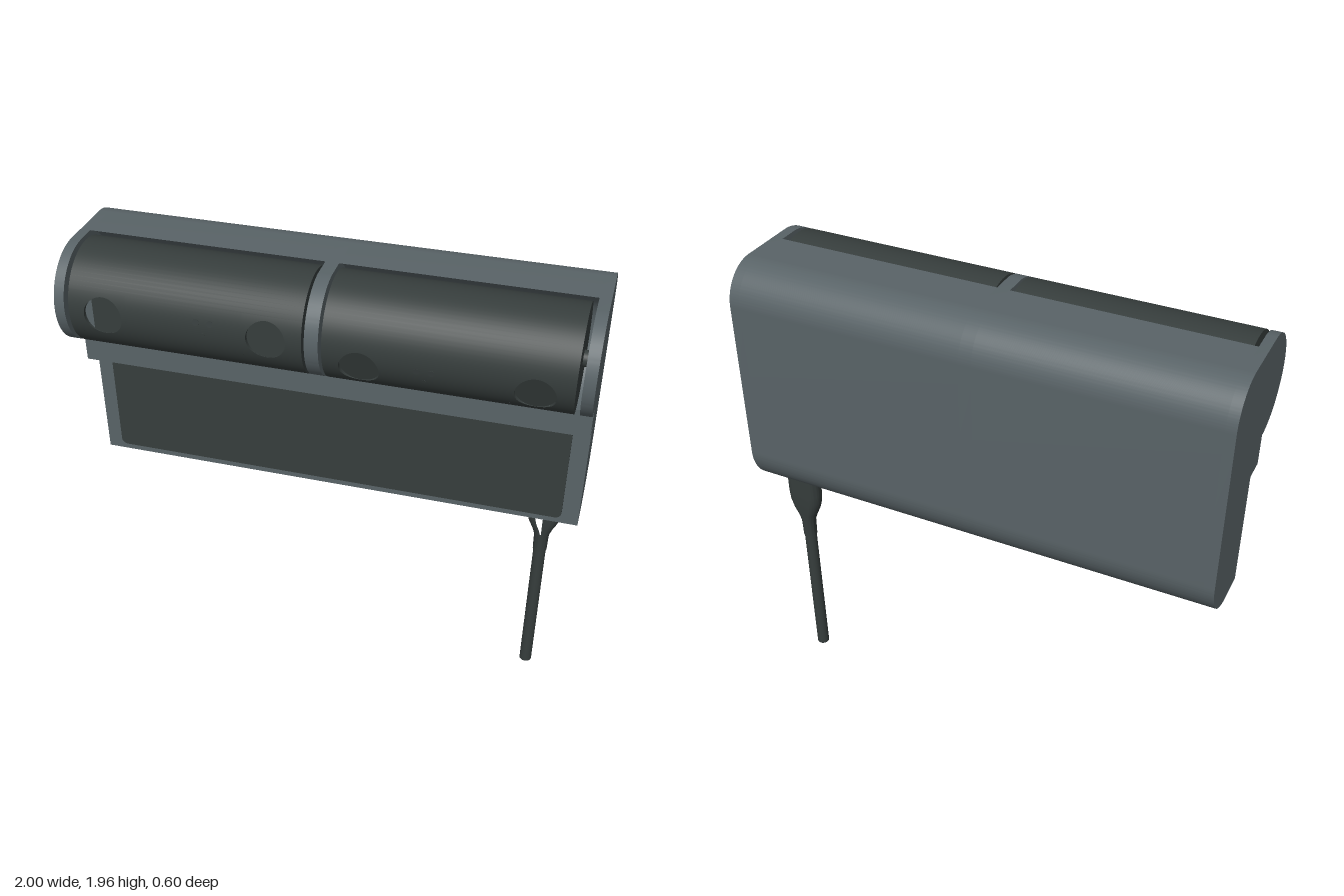
import * as THREE from 'three';
import { toCreasedNormals } from 'three/addons/utils/BufferGeometryUtils.js';
import { ParametricGeometry } from 'three/addons/geometries/ParametricGeometry.js';

const AXIS_Y = 1.757, AXIS_Z = 0.1, R = 0.2, CAVITY_R = 0.215;
const LENS_R = 0.075, LENS_FLOOR = 0.184, WINDOW = 0.09;

const grey = new THREE.MeshStandardMaterial({ color: 0x596367 });
grey.name = 'housing grey';
const dark = new THREE.MeshStandardMaterial({ color: 0x363d3c });
dark.name = 'charcoal';

function add(parent, name, geometry, material, x = 0, y = 0, z = 0) {
  const mesh = new THREE.Mesh(geometry, material);
  mesh.name = name;
  mesh.position.set(x, y, z);
  parent.add(mesh);
  return mesh;
}

// Side profile drawn as (z, y); the hollow one leaves room for a roller
function profile(hollow) {
  const s = new THREE.Shape();
  s.moveTo(0.105, 1.43);
  if (hollow) {
    s.lineTo(0.105, 1.542);
    s.absarc(AXIS_Z, AXIS_Y, CAVITY_R, -1.55, Math.PI - Math.asin(R / CAVITY_R), true);
  } else {
    s.lineTo(0.105, 1.557);
    s.absarc(AXIS_Z, AXIS_Y, R, -Math.PI / 2, Math.PI / 2, false);
  }
  s.absarc(-0.145, 1.802, 0.155, Math.PI / 2, Math.PI, false);
  s.absarc(-0.11, 1.133, 0.19, Math.PI, Math.PI * 1.5, false);
  s.lineTo(0.015, 0.943);
  s.lineTo(0.015, 1.43);
  s.closePath();
  return s;
}

function housingSlice(x0, x1, hollow) {
  const g = new THREE.ExtrudeGeometry(profile(hollow), { depth: x1 - x0, bevelEnabled: false, curveSegments: 32 });
  g.rotateY(-Math.PI / 2);
  g.translate(x1, 0, 0);
  return toCreasedNormals(g, 0.5);
}

// Cylinder lying along x
function rod(radius, length) {
  return new THREE.CylinderGeometry(radius, radius, length, 48).rotateZ(Math.PI / 2);
}

// Piece of roller skin between two x positions and two angles
function skin(x0, x1, a0, a1, steps) {
  return new ParametricGeometry((u, v, p) => {
    const a = a0 + (a1 - a0) * v;
    p.set(x0 + (x1 - x0) * u, R * Math.sin(a), R * Math.cos(a));
  }, 1, steps);
}

// Square of skin with a round opening, followed by the wall of its recess
function lensSurround() {
  return new ParametricGeometry((u, v, p) => {
    const a = u * Math.PI * 2, c = Math.cos(a), s = Math.sin(a);
    const edge = WINDOW / Math.max(Math.abs(c), Math.abs(s));
    const r = edge + (LENS_R - edge) * v;
    p.set(c * r, s * r, Math.sqrt(R * R - s * s * r * r));
  }, 64, 4);
}
function lensWall() {
  return new ParametricGeometry((u, v, p) => {
    const a = u * Math.PI * 2, y = Math.sin(a) * LENS_R;
    const top = Math.sqrt(R * R - y * y);
    p.set(Math.cos(a) * LENS_R, y, top + (LENS_FLOOR - top) * v);
  }, 64, 1);
}

function roller(name, x0, x1, tilt) {
  const group = new THREE.Group();
  group.name = name;
  group.position.set((x0 + x1) / 2, AXIS_Y, AXIS_Z);
  group.rotation.x = tilt;
  const h = (x1 - x0) / 2, band = Math.asin(WINDOW / R), lensX = 0.316;
  add(group, 'rollerCore', rod(0.18, h * 2 - 0.004), dark);
  add(group, 'rollerSkin', skin(-h, h, band, Math.PI * 2 - band, 64), dark);
  const cuts = [-h, -lensX - WINDOW, -lensX + WINDOW, lensX - WINDOW, lensX + WINDOW, h];
  for (let i = 0; i < 6; i += 2) add(group, 'rollerFront', skin(cuts[i], cuts[i + 1], -band, band, 16), dark);
  for (const side of [-1, 1]) {
    add(group, 'rollerEnd', new THREE.CircleGeometry(R, 64).rotateY(side * Math.PI / 2), dark, side * h);
    add(group, 'lensSurround', lensSurround(), dark, side * lensX);
    add(group, 'lensWall', lensWall(), dark, side * lensX);
    add(group, 'lens', new THREE.CircleGeometry(LENS_R, 48), dark, side * lensX, 0, LENS_FLOOR);
  }
  // Three small dots in the middle
  for (const [x, y, r] of [[-0.027, 0.034, 0.013], [0.027, 0.034, 0.013], [0, -0.012, 0.008]]) {
    const a = Math.asin(y / R);
    const dot = add(group, 'sensorDot', new THREE.CylinderGeometry(r, r, 0.006, 20).rotateX(Math.PI / 2),
      dark, x + 0.078 * Math.sign(-group.position.x), y, R * Math.cos(a) - 0.002);
    dot.rotation.x = -a;
  }
  return group;
}

// Strain relief: [radius, height, sideways stretch], round below and flat-sided above
function strainRelief() {
  const rows = [[0, 0.65, 0], [0.029, 0.65, 0], [0.031, 0.73, 0], [0.034, 0.765, 0.009], [0.037, 0.80, 0.023],
    [0.039, 0.84, 0.033], [0.041, 0.88, 0.034], [0.041, 1.0, 0.034]];
  const g = new THREE.LatheGeometry(rows.map(([r, y]) => new THREE.Vector2(r, y)), 48);
  const pos = g.attributes.position;
  for (let i = 0; i < pos.count; i++) {
    pos.setX(i, pos.getX(i) + Math.sign(pos.getX(i)) * rows[i % rows.length][2]);
  }
  return toCreasedNormals(g, 0.6);
}

function panelShape(w, h, r) {
  const s = new THREE.Shape();
  s.absarc(w - r, h - r, r, 0, Math.PI / 2, false);
  s.absarc(r - w, h - r, r, Math.PI / 2, Math.PI, false);
  s.absarc(r - w, r - h, r, Math.PI, Math.PI * 1.5, false);
  s.absarc(w - r, r - h, r, Math.PI * 1.5, Math.PI * 2, false);
  s.closePath();
  return s;
}

export function createModel() {
  const model = new THREE.Group();
  model.name = 'wallUnit';

  // Housing: solid ends and divider, hollow bays between them
  const slices = [['endCheek', -1, -0.96, false], ['bay', -0.96, -0.03, true], ['divider', -0.03, 0.022, false],
    ['bay', 0.022, 0.957, true], ['endCheek', 0.957, 1, false]];
  for (const [name, x0, x1, hollow] of slices) add(model, name, housingSlice(x0, x1, hollow), grey);

  // Rollers, the left one turned further down
  const rightRoller = roller('rightRoller', -0.942, -0.04, 0);
  const leftRoller = roller('leftRoller', 0.034, 0.936, 0.34);
  model.add(rightRoller, leftRoller);

  // Pale sliver at the edge of the outer right lens
  const sliver = new THREE.Shape();
  sliver.absarc(0, 0, LENS_R - 0.001, 2.21, Math.PI * 2 - 2.21, false);
  sliver.closePath();
  add(rightRoller, 'lensSliver', new THREE.ShapeGeometry(sliver, 24), grey, -0.316, 0, LENS_FLOOR + 0.0015);

  // Axles in the gaps beside the rollers
  for (const [x, r, length, mat] of [[-0.951, 0.04, 0.02, dark], [-0.035, 0.15, 0.012, grey],
    [0.028, 0.03, 0.014, dark], [0.9465, 0.03, 0.023, dark]]) {
    add(model, 'axle', rod(r, length), mat, x, AXIS_Y, AXIS_Z);
  }

  // Front panel
  const panel = new THREE.ExtrudeGeometry(panelShape(0.933, 0.216, 0.025), { depth: 0.017, bevelEnabled: false, curveSegments: 8 });
  add(model, 'frontPanel', toCreasedNormals(panel, 0.6), dark, 0, 1.193, 0.014);

  // Cable
  add(model, 'strainRelief', strainRelief(), dark, 0.855, 0, -0.16);
  add(model, 'cable', new THREE.CylinderGeometry(0.026, 0.026, 0.7, 32), dark, 0.855, 0.35, -0.16);
  return model;
}
